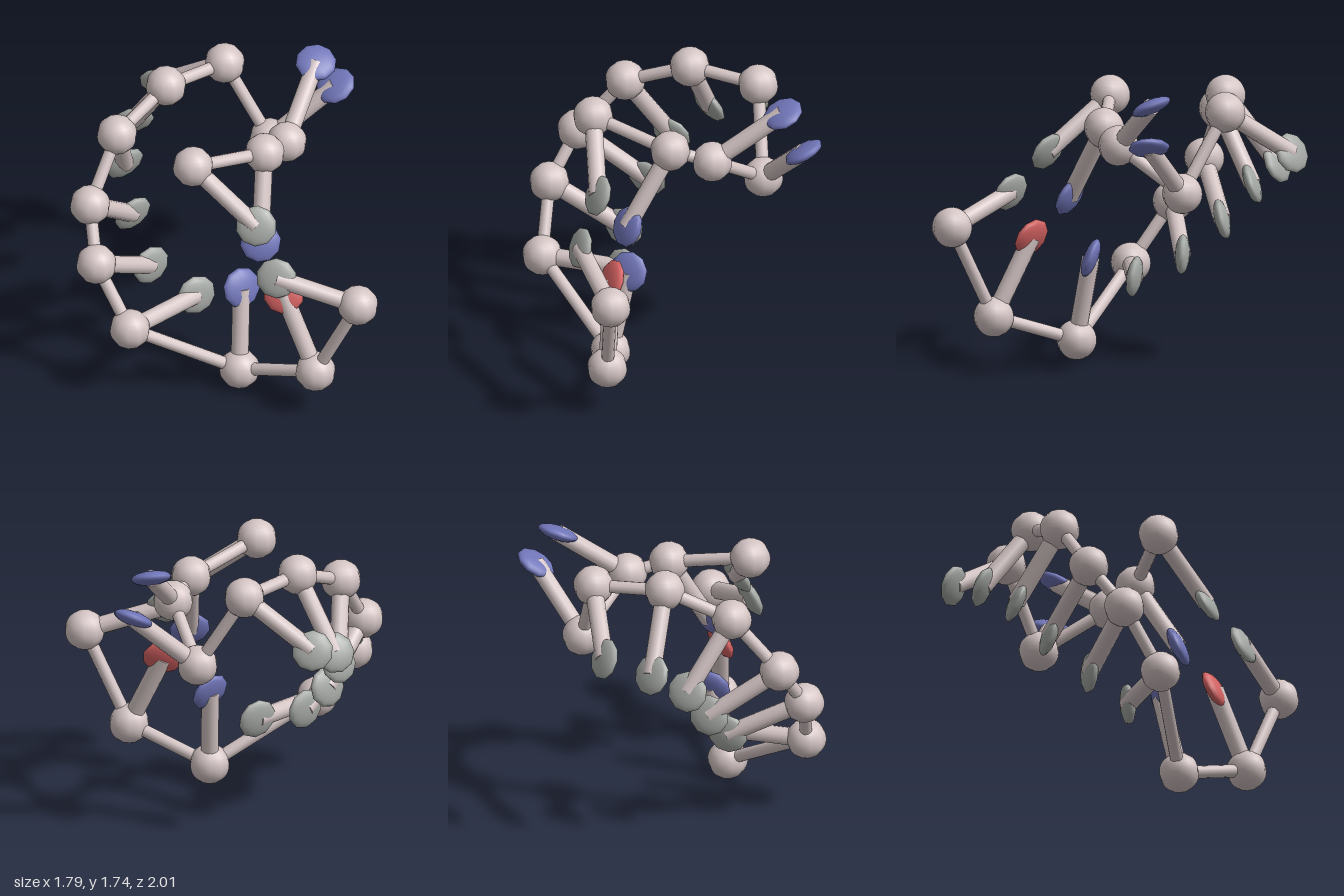
import * as THREE from 'three';

const V = (a) => new THREE.Vector3(...a);
const UP = new THREE.Vector3(0, 1, 0);

export function createModel() {
  const root = new THREE.Group();
  root.name = 'foldedChain';

  const mat = (color) => new THREE.MeshStandardMaterial({ color });
  const pink = mat(0xd4c4c4), grey = mat(0xa4a8a4), blue = mat(0x7075b8), red = mat(0xd66262);

  // Chain in order: [bead centre, paddle centre, paddle normal, paddle colour]
  const units = [
    [[0.63, 0.85, 0.89], [0.175, 1.0, 0.73], [-0.38, 0.4, 1], grey],
    [[0.41, 0.295, 0.725], [0.255, 0.755, 0.555], [-0.35, 0.45, 1], red],
    [[0.03, 0.125, 0.37], [0.065, 0.625, 0.26], [0.38, 0.4, 1], blue],
    [[-0.62, 0.48, 0.335], [-0.17, 0.49, 0.09], [0.25, 0.15, 1], grey],
    [[-0.78, 0.835, 0.14], [-0.4, 0.6, -0.11], [0.42, 0.05, 1], grey],
    [[-0.773, 1.113, -0.07], [-0.46, 0.82, -0.34], [0.42, -0.27, 1], grey],
    [[-0.57, 1.455, -0.265], [-0.465, 1.045, -0.535], [0.4, -0.4, 1], grey],
    [[-0.232, 1.61, -0.475], [-0.37, 1.2, -0.743], [-0.03, -0.47, 1], grey],
    [[0.16, 1.585, -0.665], [-0.17, 1.31, -0.937], [-0.35, -0.45, 1], grey],
    [[0.395, 1.125, -0.5], [0.785, 1.46, -0.475], [-0.5, 1, 0.3], blue],
    [[0.41, 1.38, -0.09], [0.657, 1.68, -0.425], [-0.03, 1, 0.49], blue],
    [[0.24, 1.445, 0.087], [0.16, 1.0, 0.35], [-0.12, 0.46, 1], blue],
    [[-0.23, 1.55, 0.278], [0.097, 1.245, 0.525], [-0.3, 0.5, 1], grey],
  ];

  const beadGeo = new THREE.SphereGeometry(0.119, 10, 16);
  const paddleGeo = new THREE.SphereGeometry(0.122, 10, 12).scale(1, 0.35, 1);
  const linkGeo = new THREE.CylinderGeometry(0.038, 0.038, 1, 12);
  const stemGeo = new THREE.CylinderGeometry(0.053, 0.053, 1, 12);

  const add = (name, geo, material, pos) => {
    const m = new THREE.Mesh(geo, material);
    m.name = name;
    m.position.copy(pos);
    root.add(m);
    return m;
  };

  // Unit-height rod stretched between two points
  const rod = (name, geo, a, b) => {
    const m = add(name, geo, pink, a.clone().lerp(b, 0.5));
    const d = b.clone().sub(a);
    m.scale.y = d.length();
    m.quaternion.setFromUnitVectors(UP, d.normalize());
  };

  units.forEach(([bead, paddle, normal, colour], i) => {
    const b = V(bead), p = V(paddle);
    add('bead', beadGeo, pink, b);
    rod('stem', stemGeo, b, p);
    const disc = add('paddle', paddleGeo, colour, p);
    disc.quaternion.setFromUnitVectors(UP, V(normal).normalize());
    if (i > 0) rod('link', linkGeo, V(units[i - 1][0]), b);
  });

  return root;
}
